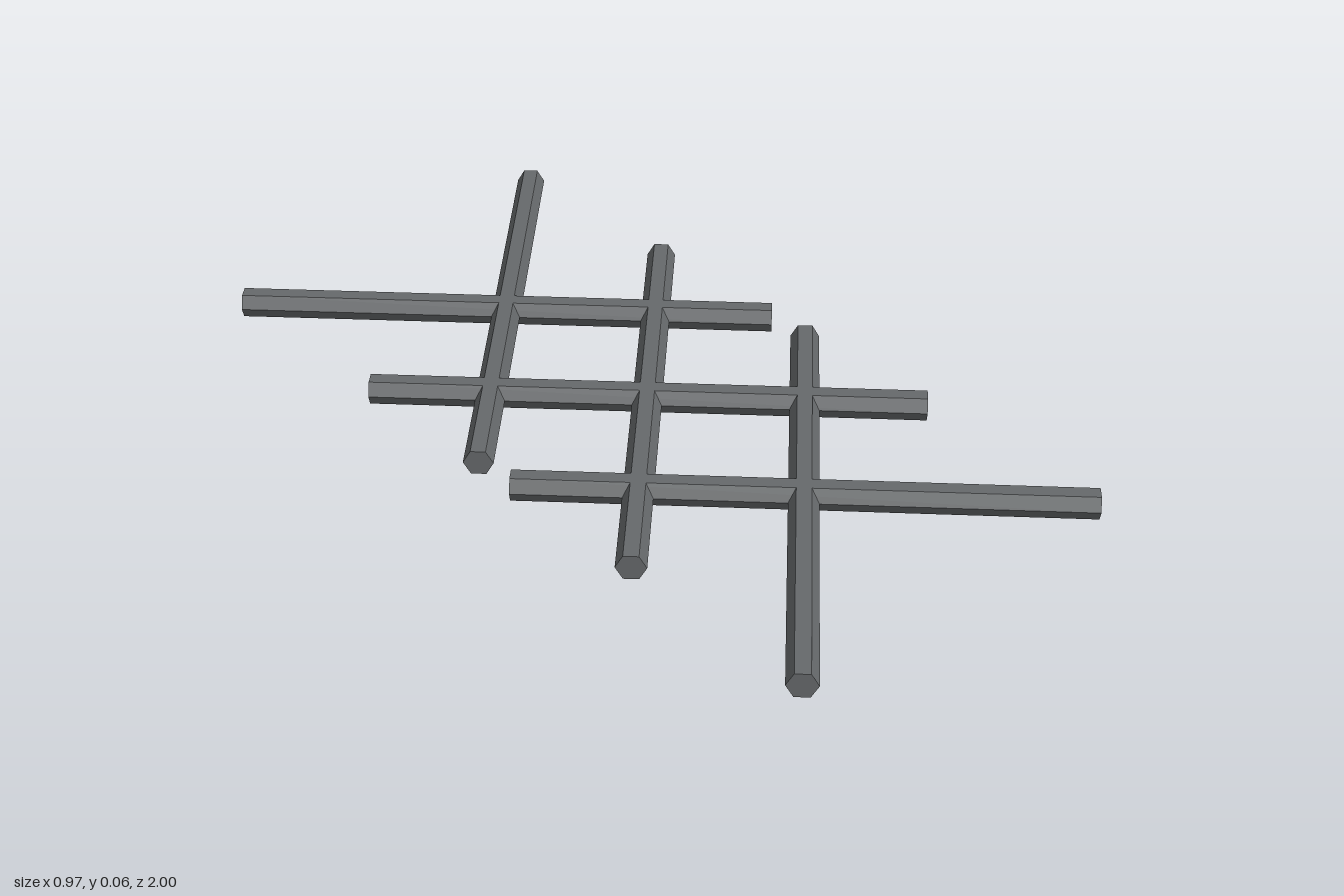
import * as THREE from 'three';

const HEIGHT = 0.06;    // flat-to-flat thickness of the hexagonal bar
const LENGTH = 1.298;
const SPACING = 0.516;  // distance between bar centres along z

// Hexagonal bar lying along z, with flat faces on top and bottom
function makeBarGeometry() {
  const radius = HEIGHT / Math.sqrt(3);
  const bar = new THREE.CylinderGeometry(radius, radius, LENGTH, 6)
    .rotateY(Math.PI / 6)
    .rotateX(Math.PI / 2)
    .toNonIndexed();
  bar.computeVertexNormals(); // faceted sides
  return bar;
}

export function createModel() {
  const model = new THREE.Group();
  model.name = 'crossedBarGrate';
  const darkSteel = new THREE.MeshStandardMaterial({ color: 0x66696b });
  darkSteel.name = 'darkSteel';
  const geometry = makeBarGeometry();

  // Two sets of three parallel bars, crossing on the centre line
  for (const side of [-1, 1]) {
    const set = new THREE.Group();
    set.name = side < 0 ? 'rightLeaningBars' : 'leftLeaningBars';
    for (let i = -1; i <= 1; i++) {
      const bar = new THREE.Mesh(geometry, darkSteel);
      bar.name = `bar${i + 2}`;
      bar.position.set(0, HEIGHT / 2, i * SPACING);
      bar.rotation.y = side * Math.PI / 4;
      set.add(bar);
    }
    model.add(set);
  }
  return model;
}
